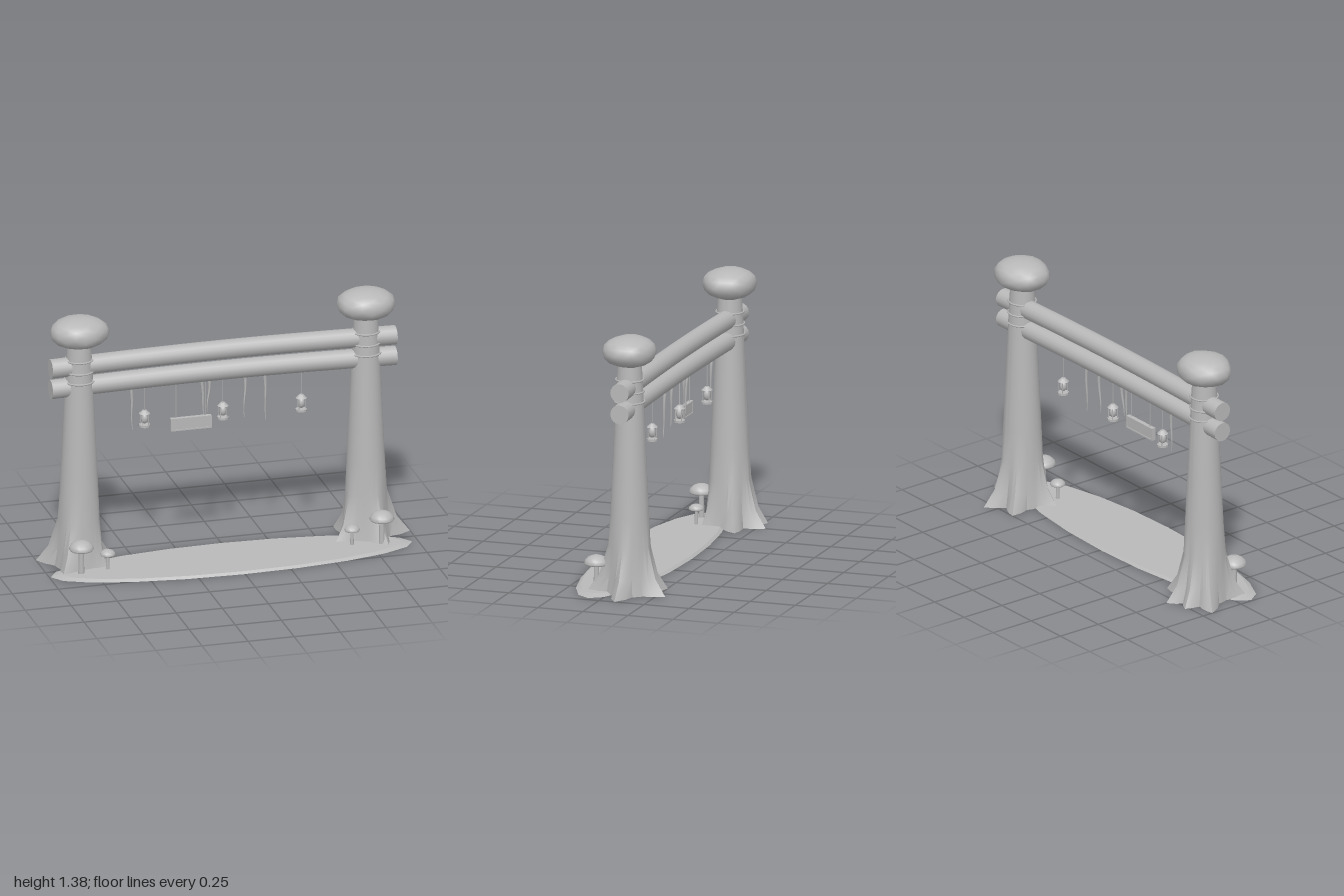
import * as THREE from 'three';
import { mergeVertices, toCreasedNormals } from 'three/addons/utils/BufferGeometryUtils.js';

const Z = -0.085; // depth of the posts and beams

export function createModel() {
  const root = new THREE.Group();
  root.name = 'woodlandGate';
  const mat = new THREE.MeshStandardMaterial({ color: 0xb8b8b8 });
  mat.name = 'plain grey';

  function add(parent, name, geo, x = 0, y = 0, z = 0) {
    const m = new THREE.Mesh(geo, mat);
    m.name = name;
    m.position.set(x, y, z);
    parent.add(m);
    return m;
  }
  function group(name, x = 0, y = 0, z = 0) {
    const g = new THREE.Group();
    g.name = name;
    g.position.set(x, y, z);
    root.add(g);
    return g;
  }

  // Trunk made of stacked rings; the lowest rings flare out towards the root tips
  function trunkGeometry(tips) {
    const polar = tips.map(([x, z]) => ({ a: Math.atan2(z, x), r: Math.hypot(x, z) })).sort((p, q) => p.a - q.a);
    const spokes = [];
    polar.forEach((p, i) => {
      const q = polar[(i + 1) % polar.length];
      const gap = (q.a - p.a + Math.PI * 2) % (Math.PI * 2);
      for (let k = 0; k < 6; k++) {
        const t = k / 6, near = t <= 0.5 ? p : q;
        const d = Math.min(t, 1 - t) * gap;
        spokes.push({ a: p.a + gap * t, extra: Math.max(0, 1 - d / 0.42) * (near.r - 0.13) });
      }
    });
    // height, radius, root strength
    const rings = [[0, 0.13, 1], [0.09, 0.118, 0.45], [0.25, 0.108, 0.06], [0.42, 0.101, 0],
      [0.7, 0.088, 0], [0.97, 0.076, 0], [1.12, 0.069, 0], [1.23, 0.063, 0]];
    const n = spokes.length, pos = [], idx = [];
    for (const [y, r, f] of rings)
      for (const s of spokes) {
        const d = r + s.extra * f;
        pos.push(Math.cos(s.a) * d, y, Math.sin(s.a) * d);
      }
    for (let j = 0; j < rings.length - 1; j++)
      for (let i = 0; i < n; i++) {
        const a = j * n + i, b = j * n + (i + 1) % n;
        idx.push(a, a + n, b, b, a + n, b + n);
      }
    const bottom = pos.length / 3, top = bottom + 1, last = (rings.length - 1) * n;
    pos.push(0, 0, 0, 0, 1.23, 0);
    for (let i = 0; i < n; i++) {
      const k = (i + 1) % n;
      idx.push(bottom, i, k, top, last + k, last + i);
    }
    const g = new THREE.BufferGeometry();
    g.setAttribute('position', new THREE.Float32BufferAttribute(pos, 3));
    g.setIndex(idx);
    return toCreasedNormals(g, 0.6);
  }

  // Lumpy stone cap
  function capGeometry(seed) {
    let g = new THREE.IcosahedronGeometry(1, 2);
    g.deleteAttribute('uv');
    g.deleteAttribute('normal');
    g = mergeVertices(g, 1e-4);
    const p = g.attributes.position;
    for (let i = 0; i < p.count; i++) {
      const x = p.getX(i), y = p.getY(i), z = p.getZ(i);
      const k = 1 + 0.04 * Math.sin(4 * x + seed) * Math.cos(5 * z + seed * 2);
      const flat = Math.sign(y) * Math.pow(Math.abs(y), 0.85);
      p.setXYZ(i, x * k * 0.155, flat * 0.082, z * k * 0.14);
    }
    g.computeVertexNormals();
    return g;
  }

  // Posts with caps and rope bands
  const posts = [
    ['rightPost', -0.795, [[-1, -0.19], [-0.93, 0.09], [-0.87, -0.27], [-0.75, -0.3], [-0.6, -0.18], [-0.67, 0.03]]],
    ['leftPost', 0.76, [[1, -0.085], [0.83, 0.13], [0.81, -0.3], [0.63, -0.25], [0.57, 0]]],
  ];
  posts.forEach(([name, x, tips], i) => {
    const g = group(name, x, 0, Z);
    add(g, 'trunk', trunkGeometry(tips.map(([tx, tz]) => [tx - x, tz - Z])));
    add(g, 'capStone', capGeometry(i * 2 + 1), 0, 1.295, 0);
    for (const [y, r] of [[1.143, 0.073], [1.08, 0.076], [1.025, 0.079]]) {
      const band = add(g, 'ropeBand', new THREE.TorusGeometry(r, 0.005, 6, 24), 0, y, 0);
      band.rotation.x = Math.PI / 2;
    }
  });

  // Two crossbeams, gently arched
  for (const [name, y] of [['upperBeam', 1.103], ['lowerBeam', 0.988]]) {
    const g = new THREE.CylinderGeometry(0.051, 0.051, 1.87, 16, 16);
    g.rotateZ(Math.PI / 2);
    const p = g.attributes.position;
    for (let i = 0; i < p.count; i++)
      p.setY(i, p.getY(i) + 0.014 * Math.cos(p.getX(i) / 0.935 * Math.PI / 2));
    add(root, name, g, -0.015, y, Z);
  }

  // Low oval ground path
  const path = new THREE.CylinderGeometry(0.94, 1, 0.012, 20);
  path.scale(0.98, 1, 0.228);
  add(root, 'groundPath', path, -0.012, 0.006, 0.072);

  // Hanging vines: thin tapered bent cones
  const vines = [[-0.515, 0.01, 0.72], [-0.133, 0.018, 0.735], [-0.088, -0.012, 0.78],
    [0.105, -0.005, 0.73], [0.21, 0.008, 0.7]];
  for (const [x, lean, end] of vines) {
    const len = 0.96 - end;
    const g = new THREE.CylinderGeometry(0.01, 0.002, len, 6, 6);
    const p = g.attributes.position;
    for (let i = 0; i < p.count; i++) {
      const t = 0.5 - p.getY(i) / len;
      p.setX(i, p.getX(i) + lean * t + 0.004 * Math.sin(t * 6));
      p.setZ(i, p.getZ(i) + 0.008 * t);
    }
    g.computeVertexNormals();
    add(root, 'vine', g, x, end + len / 2, Z);
  }

  // Lanterns
  for (const x of [-0.44, -0.015, 0.41]) {
    const g = group('lantern', x, 0, Z);
    add(g, 'cord', new THREE.CylinderGeometry(0.002, 0.002, 0.14, 5), 0, 0.885, 0);
    add(g, 'lanternRoof', new THREE.CylinderGeometry(0.012, 0.03, 0.018, 10), 0, 0.812, 0);
    add(g, 'lanternBase', new THREE.CylinderGeometry(0.03, 0.03, 0.012, 10), 0, 0.736, 0);
    const globe = add(g, 'lanternGlobe', new THREE.SphereGeometry(0.019, 10, 8), 0, 0.775, 0);
    globe.scale.y = 1.5;
    for (let i = 0; i < 4; i++) {
      const a = Math.PI / 4 + i * Math.PI / 2;
      add(g, 'lanternBar', new THREE.CylinderGeometry(0.0025, 0.0025, 0.066, 5),
        Math.cos(a) * 0.024, 0.772, Math.sin(a) * 0.024);
    }
  }

  // Blank hanging board with a thin frame
  const sign = group('hangingBoard', -0.2, 0.74, -0.045);
  add(sign, 'board', new THREE.BoxGeometry(0.21, 0.06, 0.016));
  for (const s of [-1, 1]) {
    add(sign, 'frameRail', new THREE.BoxGeometry(0.22, 0.007, 0.024), 0, s * 0.031, 0);
    add(sign, 'frameEnd', new THREE.BoxGeometry(0.007, 0.068, 0.024), s * 0.107, 0, 0);
    add(sign, 'boardCord', new THREE.CylinderGeometry(0.002, 0.002, 0.19, 5), s * 0.08, 0.125, 0);
  }

  // Mushrooms in front of each post: x, z, cap underside height, cap radius, cap thickness
  const mushrooms = [[-0.83, 0.085, 0.147, 0.066, 0.046], [-0.68, 0.06, 0.092, 0.041, 0.028],
    [0.8, 0.085, 0.147, 0.066, 0.046], [0.645, 0.06, 0.092, 0.041, 0.028]];
  for (const [x, z, y, r, h] of mushrooms) {
    const g = group('mushroom', x, 0, z);
    add(g, 'stem', new THREE.CylinderGeometry(r * 0.2, r * 0.26, y, 8), 0, y / 2, 0);
    const profile = [[0, -0.2], [0.6, -0.22], [0.92, -0.12], [1, 0.05], [0.9, 0.43], [0.65, 0.76], [0.35, 0.94], [0, 1]];
    add(g, 'mushroomCap', new THREE.LatheGeometry(profile.map(([a, b]) => new THREE.Vector2(a * r, b * h)), 14), 0, y, 0);
  }
  return root;
}
